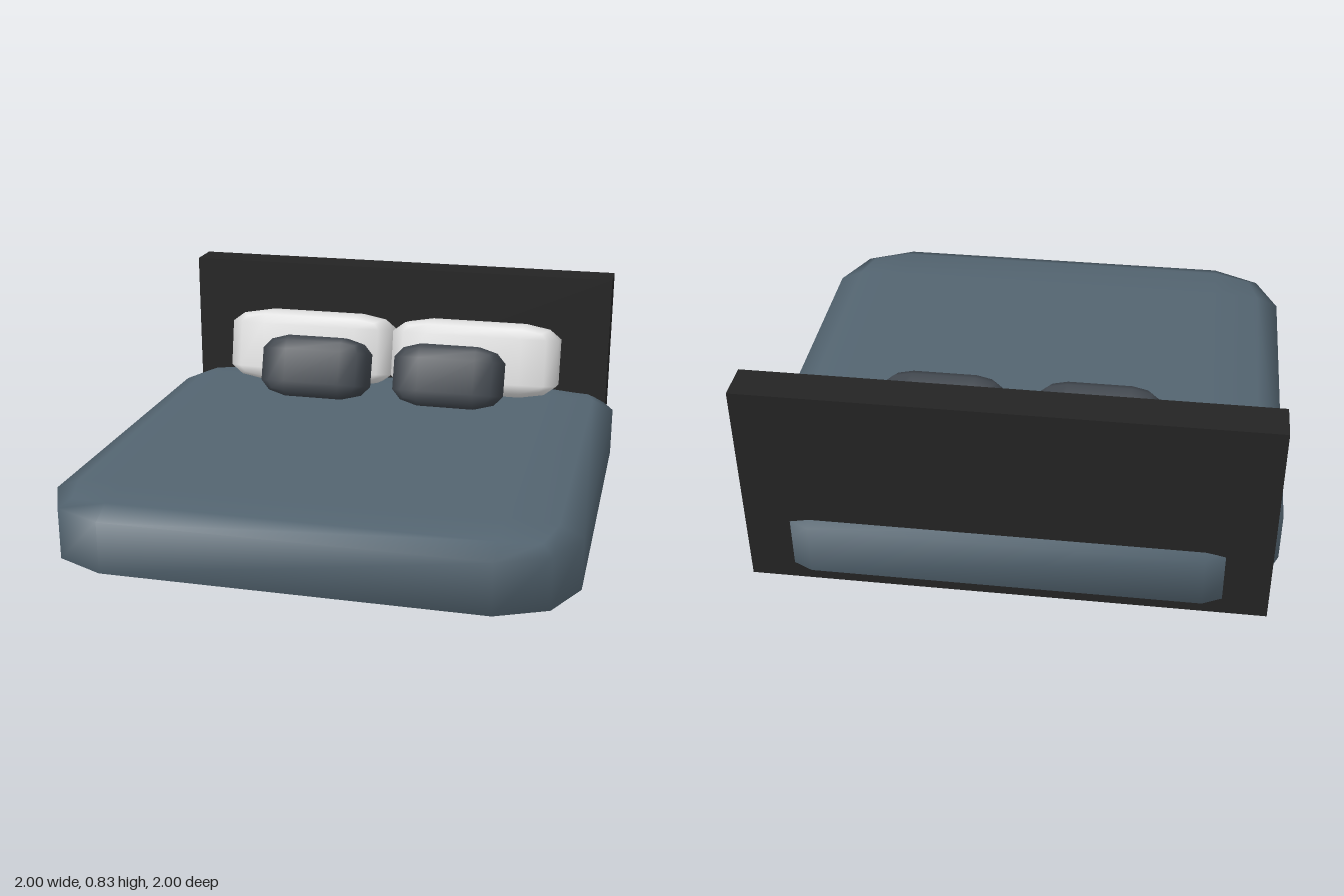
import * as THREE from 'three';
import { mergeVertices } from 'three/addons/utils/BufferGeometryUtils.js';

// Soft cushion: a 3x3x3 box whose inner rows sit at `flat`, with edges and corners pulled in
function cushion(half, flat, edge, corner) {
  let geo = new THREE.BoxGeometry(2, 2, 2, 3, 3, 3);
  geo.deleteAttribute('uv');
  geo.deleteAttribute('normal');
  geo = mergeVertices(geo, 1e-4);
  const pos = geo.attributes.position;
  for (let i = 0; i < pos.count; i++) {
    const p = [pos.getX(i), pos.getY(i), pos.getZ(i)];
    const extremes = p.filter((v) => Math.abs(v) > 0.9).length;
    const q = p.map((v, k) => {
      const outer = [1, 1, edge[k], corner[k]][extremes];
      return Math.sign(v) * half[k] * (Math.abs(v) > 0.9 ? outer : flat[k]);
    });
    pos.setXYZ(i, ...q);
  }
  geo.computeVertexNormals();
  return geo;
}

export function createModel() {
  const group = new THREE.Group();
  const material = (name, color) => {
    const m = new THREE.MeshStandardMaterial({ color });
    m.name = name;
    return m;
  };
  const blue = material('slate blue fabric', 0x536470);
  const black = material('black board', 0x242424);
  const white = material('white linen', 0xe2e2e2);
  const grey = material('charcoal fabric', 0x3f454c);

  const add = (name, geo, mat, x, y, z, tilt = 0) => {
    const mesh = new THREE.Mesh(geo, mat);
    mesh.name = name;
    mesh.position.set(x, y, z);
    mesh.rotation.x = tilt;
    group.add(mesh);
  };

  // Mattress, passing through the headboard at the back
  add('mattress', cushion([1, 0.15, 1], [0.72, 0.67, 0.72], [0.91, 0.93, 0.91], [0.87, 0.86, 0.87]),
    blue, 0, 0.17, 0);

  // Headboard
  add('headboard', new THREE.BoxGeometry(1.92, 0.835, 0.145), black, 0, 0.4175, -0.893);

  // Pillows leaning back in two rows
  const large = cushion([0.37, 0.16, 0.12], [0.57, 0.63, 0.52], [0.86, 0.88, 0.84], [0.8, 0.8, 0.77]);
  const small = cushion([0.235, 0.135, 0.105], [0.52, 0.53, 0.55], [0.84, 0.84, 0.84], [0.77, 0.77, 0.77]);
  for (const [side, s] of [['left', 1], ['right', -1]]) {
    add(side + 'LargePillow', large, white, 0.01 + s * 0.375, 0.481, -0.685, -0.21);
    add(side + 'SmallPillow', small, grey, 0.006 + s * 0.297, 0.453, -0.462, -0.3);
  }
  return group;
}
